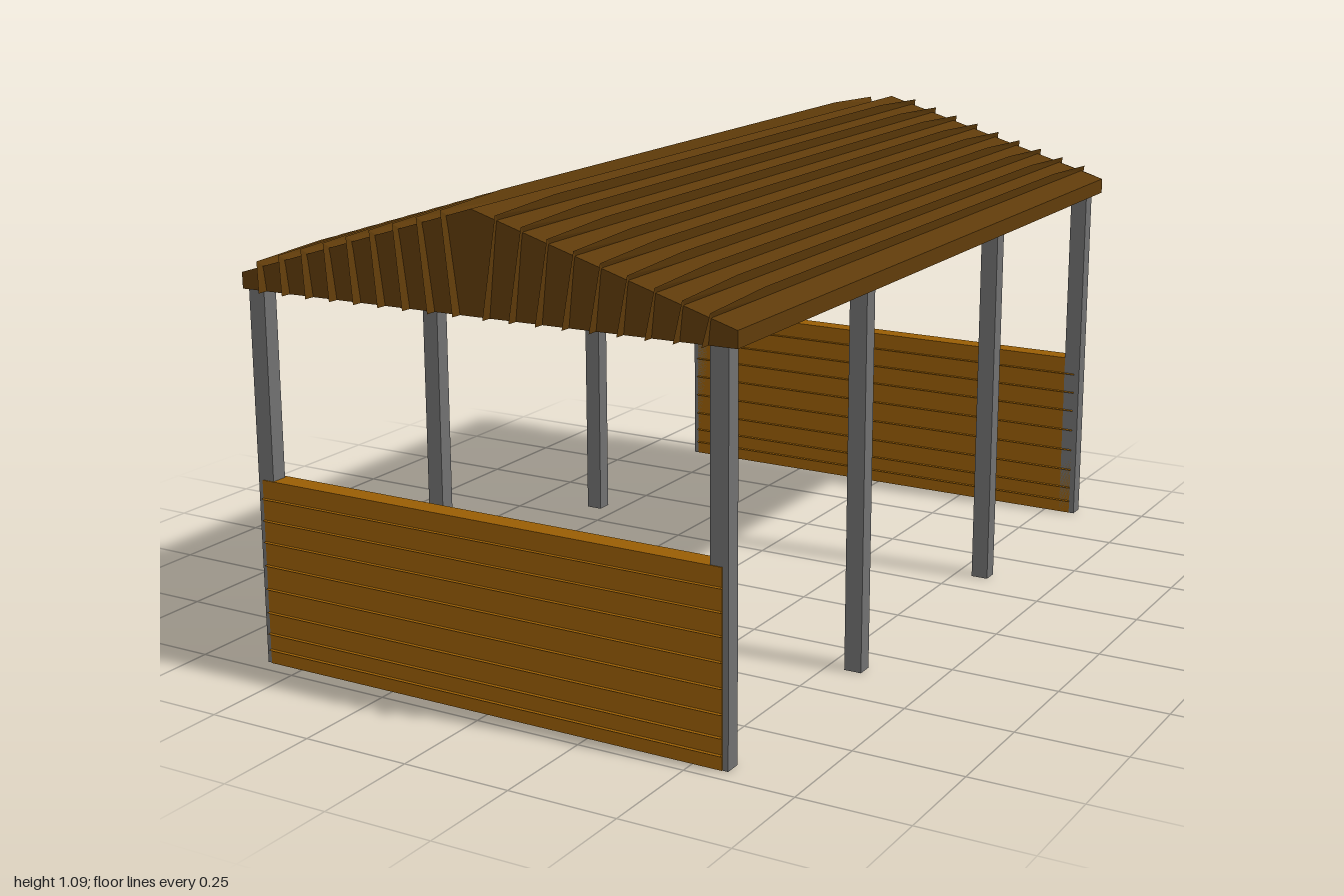
import * as THREE from 'three';
import { mergeGeometries } from 'three/addons/utils/BufferGeometryUtils.js';

const mat = (name, color) => {
  const m = new THREE.MeshStandardMaterial({ color });
  m.name = name;
  return m;
};

// sharp triangular rib: sections of [base, tip] points, with a half-width vector
function ribGeometry(sections, half) {
  const pos = [];
  const tri = (...pts) => pts.forEach((p) => pos.push(p.x, p.y, p.z));
  const quad = (a, b, c, d) => { tri(a, b, c); tri(a, c, d); };
  const rows = sections.map(([base, tip]) => ({
    a: base.clone().sub(half), b: base.clone().add(half), t: tip,
  }));
  for (let i = 0; i < rows.length - 1; i++) {
    const p = rows[i], q = rows[i + 1];
    quad(p.t, p.b, q.b, q.t);
    quad(p.a, p.t, q.t, q.a);
  }
  const first = rows[0], last = rows[rows.length - 1];
  tri(first.a, first.b, first.t);
  tri(last.a, last.t, last.b);
  const g = new THREE.BufferGeometry();
  g.setAttribute('position', new THREE.Float32BufferAttribute(pos, 3));
  g.computeVertexNormals();
  return g;
}

// outline in x and y, pushed from z0 to z1
function slab(points, z0, z1) {
  const shape = new THREE.Shape(points.map(([x, y]) => new THREE.Vector2(x, y)));
  return new THREE.ExtrudeGeometry(shape, { depth: z1 - z0, bevelEnabled: false }).translate(0, 0, z0);
}

export function createModel() {
  const model = new THREE.Group();
  model.name = 'shelter';
  const roofBrown = mat('dark brown roof', 0x5f3b0a);
  const panelBrown = mat('light brown boards', 0x985d04);
  const postGrey = mat('grey posts', 0x707070);
  const add = (parent, name, geometry, material) => {
    const mesh = new THREE.Mesh(geometry, material);
    mesh.name = name;
    parent.add(mesh);
    return mesh;
  };
  const V = (x, y, z) => new THREE.Vector3(x, y, z);

  // thin folded roof with turned-down eaves, leaning very slightly to one side
  const W = 0.606, EAVE = 0.862, EDGE = 0.898, RIDGE = 1.082, T = 0.008;
  const roof = new THREE.Group();
  roof.name = 'roof';
  roof.rotation.z = 0.0125;
  roof.position.x = 0.011;
  model.add(roof);
  add(roof, 'roofSkin', slab([
    [-W, EAVE], [-W + T, EAVE], [-W + T, EDGE - T], [0, RIDGE - T],
    [W - T, EDGE - T], [W - T, EAVE], [W, EAVE], [W, EDGE], [0, RIDGE], [-W, EDGE],
  ], -0.979, 0.969), roofBrown);
  const gable = [[-W, EAVE], [W, EAVE], [W, EDGE], [0, RIDGE], [-W, EDGE]];
  add(roof, 'frontGable', slab(gable, 0.967, 0.972), roofBrown);
  // the back gable slopes out a little towards its foot
  const backGable = [[-0.58, 0], [0.58, 0], [0.58, 0.041], [0, RIDGE - EAVE - 0.002], [-0.58, 0.041]];
  add(roof, 'backGable', slab(backGable, -0.002, 0.002).rotateX(0.06), roofBrown)
    .position.set(0, EAVE, -0.992);

  // thin ribs square to the slope, bending down over both gables
  const ribs = [];
  for (const side of [-1, 1]) {
    for (let i = 1; i <= 9; i++) {
      const x = side * i * 0.0608;
      const y = RIDGE - (RIDGE - EDGE) * Math.abs(x) / W;
      const low = x - side * 0.12 * (y - EAVE);
      const out = x + side * 0.006;
      const path = [
        [low, EAVE, 0.971, low, EAVE, 0.997],
        [x, y, 0.968, out, y + 0.012, 0.984],
        [x, y, 0.77, out, y + 0.022, 0.77],
        [x, y, -0.77, out, y + 0.022, -0.77],
        [x, y, -0.978, out, y + 0.012, -0.988],
        [low, EAVE, -0.988, low, EAVE, -1.0],
      ];
      ribs.push(ribGeometry(
        path.map(([bx, by, bz, tx, ty, tz]) => [V(bx, by, bz), V(tx, ty, tz)]),
        V(0.001, 0, 0)));
    }
  }
  add(roof, 'roofRibs', mergeGeometries(ribs), roofBrown);

  // four posts on each long side, the middle ones set slightly inwards
  for (const [name, corner, middle, top] of [
    ['leftPost', 0.561, 0.563, 0.906], ['rightPost', -0.576, -0.566, 0.886],
  ]) {
    for (const [x, z] of [[corner, 0.944], [middle, 0.35], [middle, -0.357], [corner, -0.953]]) {
      add(model, name, new THREE.BoxGeometry(0.041, top, 0.038), postGrey)
        .position.set(x, top / 2, z);
    }
  }

  // low board walls at both ends, with thin lips between the boards
  const X0 = -0.585, X1 = 0.568, H = 0.427;
  const lines = [0.032, 0.07, 0.12, 0.175, 0.23, 0.284, 0.334, 0.384];
  for (const [name, z0, z1] of [['frontWall', 0.916, 0.965], ['backWall', -0.983, -0.934]]) {
    const wall = new THREE.Group();
    wall.name = name;
    model.add(wall);
    add(wall, 'boards', new THREE.BoxGeometry(X1 - X0, H, z1 - z0), panelBrown)
      .position.set((X0 + X1) / 2, H / 2, (z0 + z1) / 2);
    const lips = [];
    for (const y of lines) {
      for (const [z, out, from, to] of [[z1, 1, X0, X1], [z0, -1, X1, X0]]) {
        lips.push(ribGeometry(
          [from, to].map((x) => [V(x, y, z), V(x, y + 0.001, z + out * 0.008)]),
          V(0, -0.0018, 0)));
      }
    }
    add(wall, 'boardLips', mergeGeometries(lips), panelBrown);
  }
  return model;
}
